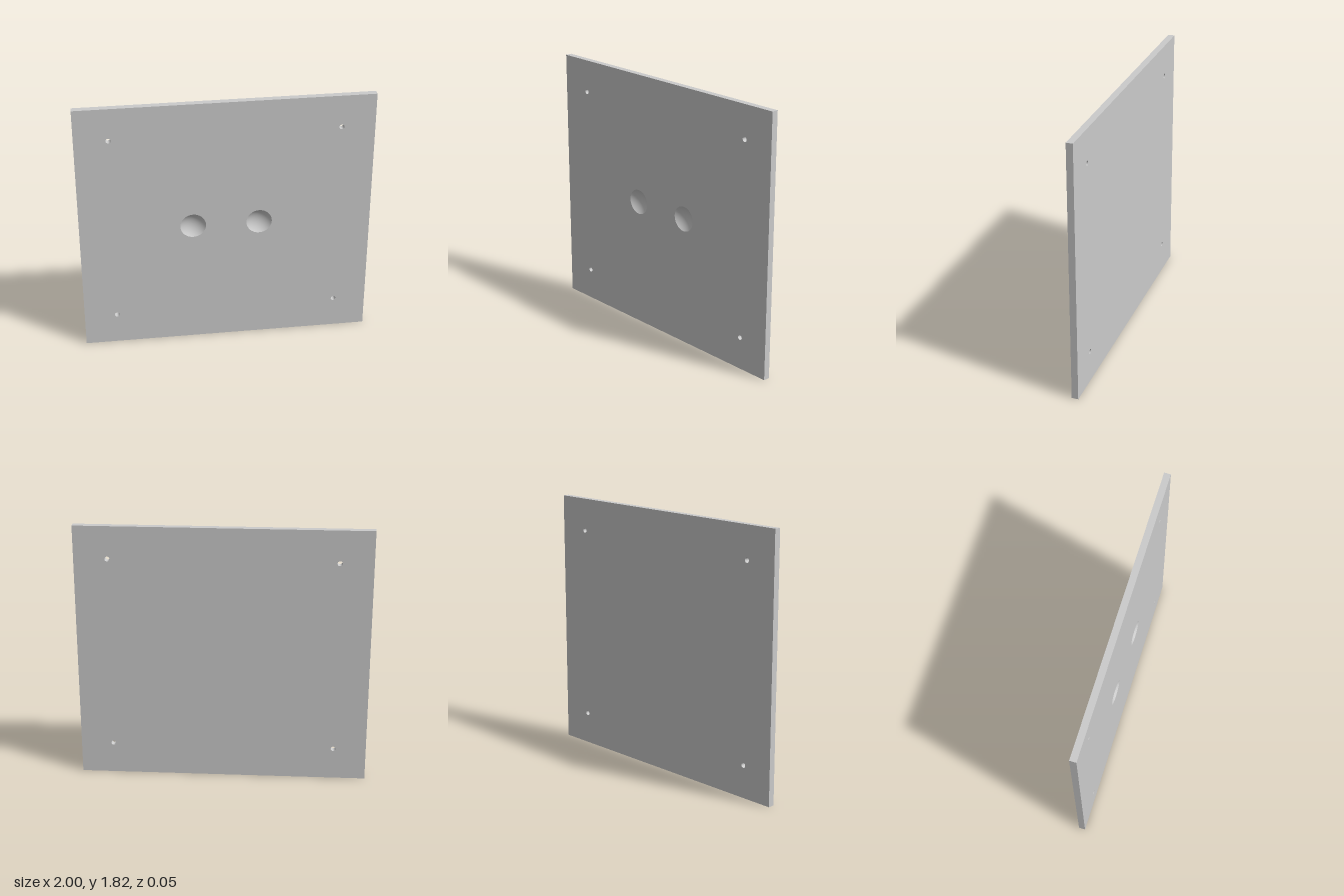
import * as THREE from 'three';

const W = 2, H = 1.818, T = 0.0455;
const HOLE_R = 0.017, DIMPLE_R = 0.088, DIMPLE_DEPTH = 0.036;
const HOLES = [-1, 1].flatMap((sx) => [-1, 1].map((sy) => [sx * 0.773, sy * 0.682]));
const DIMPLES = [[-0.227, 0], [0.227, 0]];

export function createModel() {
  const group = new THREE.Group();
  const material = new THREE.MeshStandardMaterial({ color: 0xcccccc });

  const add = (name, geometry, x, y, z) => {
    const mesh = new THREE.Mesh(geometry, material);
    mesh.name = name;
    mesh.position.set(x, y + H / 2, z);
    group.add(mesh);
    return mesh;
  };

  // Rectangular face pierced by round openings
  const face = (openings) => {
    const shape = new THREE.Shape();
    shape.moveTo(-W / 2, -H / 2).lineTo(W / 2, -H / 2).lineTo(W / 2, H / 2).lineTo(-W / 2, H / 2).closePath();
    for (const [x, y, r] of openings) shape.holes.push(new THREE.Path().absarc(x, y, r, 0, Math.PI * 2, true));
    return new THREE.ShapeGeometry(shape, 16);
  };
  const holes = HOLES.map(([x, y]) => [x, y, HOLE_R]);
  const dimples = DIMPLES.map(([x, y]) => [x, y, DIMPLE_R]);
  add('frontFace', face([...holes, ...dimples]), 0, 0, T / 2);
  add('backFace', face(holes).rotateY(Math.PI), 0, 0, -T / 2);

  // Plate edges
  for (const s of [-1, 1]) {
    add(s > 0 ? 'leftEdge' : 'rightEdge', new THREE.PlaneGeometry(T, H).rotateY(s * Math.PI / 2), s * W / 2, 0, 0);
    add(s > 0 ? 'topEdge' : 'bottomEdge', new THREE.PlaneGeometry(W, T).rotateX(-s * Math.PI / 2), 0, s * H / 2, 0);
  }

  // Through-hole walls, facing inward
  const wall = new THREE.LatheGeometry(
    [new THREE.Vector2(HOLE_R, T / 2), new THREE.Vector2(HOLE_R, -T / 2)], 32).rotateX(Math.PI / 2);
  for (const [x, y] of HOLES) add('mountingHole', wall, x, y, 0);

  // Spherical dimples sunk into the front face
  const R = (DIMPLE_R ** 2 + DIMPLE_DEPTH ** 2) / (2 * DIMPLE_DEPTH);
  const sweep = Math.asin(DIMPLE_R / R);
  const profile = [];
  for (let i = 0; i <= 12; i++) {
    const a = sweep * (1 - i / 12);
    profile.push(new THREE.Vector2(R * Math.sin(a), R - DIMPLE_DEPTH - R * Math.cos(a)));
  }
  const bowl = new THREE.LatheGeometry(profile, 32).rotateX(Math.PI / 2);
  for (const [x, y] of DIMPLES) add('dimple', bowl, x, y, T / 2);

  return group;
}
